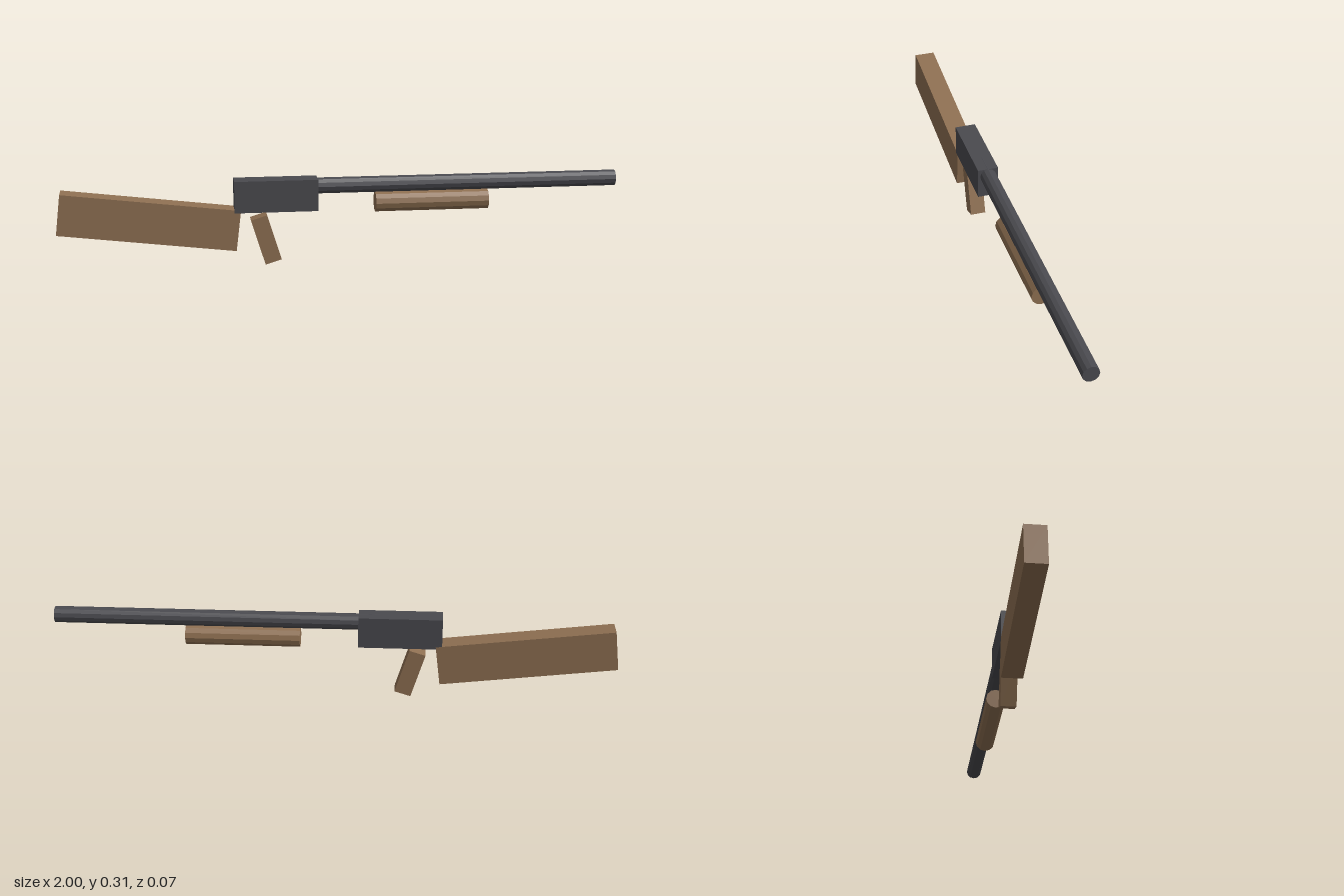
import * as THREE from 'three';

export function createModel() {
  const group = new THREE.Group();
  const wood = new THREE.MeshStandardMaterial({ color: 0x8f7052, flatShading: true });
  wood.name = 'wood';
  const metal = new THREE.MeshStandardMaterial({ color: 0x4a4a4f, flatShading: true });
  metal.name = 'gunmetal';

  function add(name, geometry, material, x, y, tilt = 0) {
    const mesh = new THREE.Mesh(geometry, material);
    mesh.name = name;
    mesh.position.set(x, y, 0);
    mesh.rotation.z = tilt;
    group.add(mesh);
  }

  // Twelve-sided rod lying along x
  function rod(name, radius, x0, x1, y, material) {
    const geometry = new THREE.CylinderGeometry(radius, radius, x1 - x0, 12).rotateZ(-Math.PI / 2);
    add(name, geometry, material, (x0 + x1) / 2, y);
  }

  // Metal body and barrel, which runs a little way into the body
  add('receiver', new THREE.BoxGeometry(0.296, 0.113, 0.074), metal, -0.231, 0.249);
  rod('barrel', 0.029, -0.16, 1, 0.277, metal);

  // Wooden furniture
  rod('foreEnd', 0.036, 0.124, 0.532, 0.212, wood);
  add('stock', new THREE.BoxGeometry(0.63, 0.146, 0.074), wood, -0.678, 0.166, -0.12);
  add('grip', new THREE.BoxGeometry(0.06, 0.17, 0.055), wood, -0.268, 0.09, 0.3);

  return group;
}
